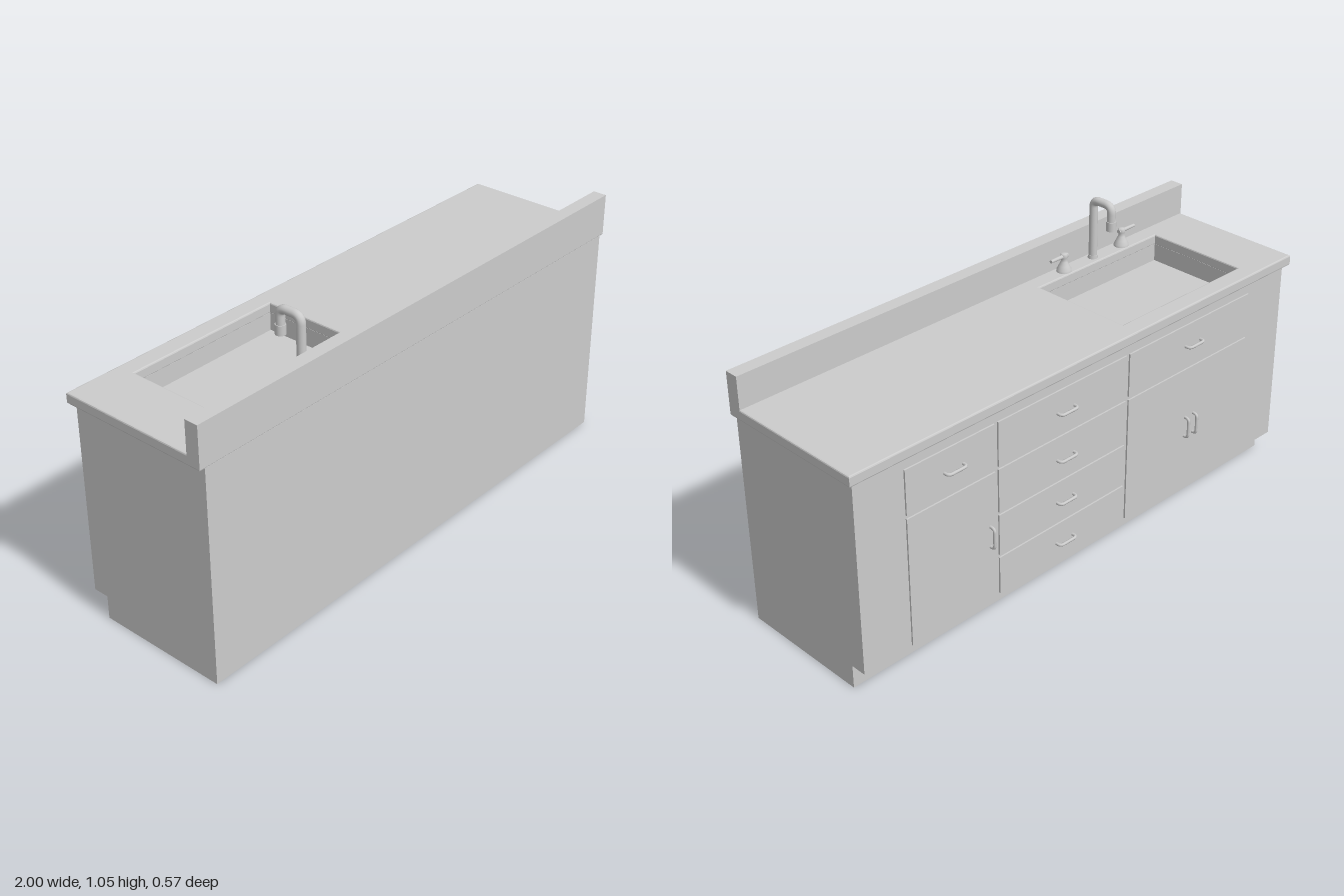
import * as THREE from 'three';

const grey = new THREE.MeshStandardMaterial({ color: 0xcccccc });
const V = (x, y, z) => new THREE.Vector3(x, y, z);
const SINK = { x0: -0.79, x1: -0.2, z0: -0.205, z1: 0.175, floor: 0.715 };
const BACK = 0.285, FACE = -0.255, TOP = 0.815;

function add(parent, name, geometry, x = 0, y = 0, z = 0) {
  const mesh = new THREE.Mesh(geometry, grey);
  mesh.name = name;
  mesh.position.set(x, y, z);
  parent.add(mesh);
  return mesh;
}

function box(parent, name, x0, x1, y0, y1, z0, z1) {
  return add(parent, name, new THREE.BoxGeometry(x1 - x0, y1 - y0, z1 - z0),
    (x0 + x1) / 2, (y0 + y1) / 2, (z0 + z1) / 2);
}

// Horizontal slab with the sink opening cut through it
function sinkSlab(halfWidth, zFront, y0, y1, bevel) {
  const rect = (x0, x1, z0, z1) => [[x0, -z1], [x1, -z1], [x1, -z0], [x0, -z0]]
    .map(p => new THREE.Vector2(...p));
  const shape = new THREE.Shape(rect(-halfWidth, halfWidth, zFront, BACK));
  shape.holes.push(new THREE.Path(rect(SINK.x0, SINK.x1, SINK.z0, SINK.z1).reverse()));
  const g = new THREE.ExtrudeGeometry(shape, {
    depth: y1 - y0 - 2 * bevel, bevelEnabled: bevel > 0,
    bevelSize: bevel, bevelThickness: bevel, bevelOffset: -bevel, bevelSegments: 2
  });
  return g.rotateX(-Math.PI / 2).translate(0, y0 + bevel, 0);
}

// Path with straight runs and rounded corners
function roundedPath(points, r) {
  const path = new THREE.CurvePath();
  let last = points[0];
  for (let i = 1; i < points.length - 1; i++) {
    const p = points[i];
    const a = p.clone().add(points[i - 1].clone().sub(p).setLength(r));
    const b = p.clone().add(points[i + 1].clone().sub(p).setLength(r));
    path.add(new THREE.LineCurve3(last, a));
    path.add(new THREE.QuadraticBezierCurve3(a, p, b));
    last = b;
  }
  path.add(new THREE.LineCurve3(last, points[points.length - 1]));
  return path;
}

// Bow handle standing off the cabinet face
function pull(parent, x, y, vertical) {
  const w = 0.038, out = -0.02;
  const path = roundedPath([V(-w, 0, 0.006), V(-w, 0, out), V(w, 0, out), V(w, 0, 0.006)], 0.014);
  const mesh = add(parent, 'handle', new THREE.TubeGeometry(path, 36, 0.0055, 8), x, y, -0.26);
  if (vertical) mesh.rotation.z = Math.PI / 2;
}

export function createModel() {
  const model = new THREE.Group();

  // Cabinet body with recessed toe kick
  const cabinet = new THREE.Group();
  cabinet.name = 'cabinet';
  model.add(cabinet);
  const profile = new THREE.Shape([[BACK, 0], [BACK, SINK.floor], [FACE, SINK.floor],
    [FACE, 0.085], [-0.198, 0.085], [-0.198, 0]].map(p => new THREE.Vector2(...p)));
  const body = new THREE.ExtrudeGeometry(profile, { depth: 1.96, bevelEnabled: false });
  add(cabinet, 'cabinetBody', body.rotateY(-Math.PI / 2).translate(0.98, 0, 0));
  add(cabinet, 'sinkSurround', sinkSlab(0.98, FACE, SINK.floor, 0.78, 0));

  // Countertop and backsplash
  add(model, 'countertop', sinkSlab(1, -0.272, 0.777, TOP, 0.005));
  box(model, 'backsplash', -1, 1, 0.8, 0.93, 0.235, BACK);

  // Drawer and door fronts, one column at a time: [x0, x1, rows of [y0, y1]]
  const fronts = new THREE.Group();
  fronts.name = 'fronts';
  model.add(fronts);
  const doorRows = [[0.575, 0.735], [0.09, 0.562]];
  const columns = [
    [0.43, 0.79, doorRows],
    [-0.164, 0.416, [[0.575, 0.735], [0.404, 0.564], [0.241, 0.393], [0.09, 0.23]]],
    [-0.79, -0.178, doorRows]
  ];
  for (const [x0, x1, rows] of columns)
    for (const [y0, y1] of rows)
      box(fronts, y1 - y0 > 0.3 ? 'doorFront' : 'drawerFront', x0, x1, y0, y1, -0.261, FACE + 0.002);

  // Handles
  for (const x of [0.6, 0.12, -0.497]) pull(fronts, x, 0.655, false);
  for (const y of [0.48, 0.317, 0.155]) pull(fronts, 0.12, y, false);
  for (const x of [0.455, -0.475, -0.518]) pull(fronts, x, 0.332, true);

  // Swan-neck tap with nozzle
  const tap = new THREE.Group();
  tap.name = 'tap';
  tap.position.set(-0.497, TOP, 0.208);
  model.add(tap);
  const neck = roundedPath([V(0, 0, 0), V(0, 0.219, 0), V(0, 0.219, -0.083), V(0, 0.15, -0.083)], 0.026);
  add(tap, 'spout', new THREE.TubeGeometry(neck, 60, 0.015, 16));
  add(tap, 'nozzle', new THREE.CylinderGeometry(0.0175, 0.0175, 0.034, 16), 0, 0.147, -0.083);
  add(tap, 'spoutCollar', new THREE.CylinderGeometry(0.017, 0.018, 0.012, 16), 0, 0.006, 0);

  // Hot and cold valves with outward levers
  const bell = [[0.027, 0], [0.026, 0.008], [0.019, 0.022], [0.012, 0.036], [0.010, 0.046],
    [0.013, 0.050], [0.013, 0.062], [0.009, 0.066], [0, 0.066]].map(p => new THREE.Vector2(...p));
  for (const side of [-1, 1]) {
    const valve = new THREE.Group();
    valve.name = side > 0 ? 'leftValve' : 'rightValve';
    valve.position.set(-0.495 + side * 0.146, TOP, 0.205);
    model.add(valve);
    add(valve, 'valveBell', new THREE.LatheGeometry(bell, 20));
    const lever = new THREE.CylinderGeometry(0.008, 0.006, 0.08, 10);
    add(valve, 'lever', lever.rotateZ(side * Math.PI / 2), side * 0.025, 0.056, 0);
  }
  return model;
}
